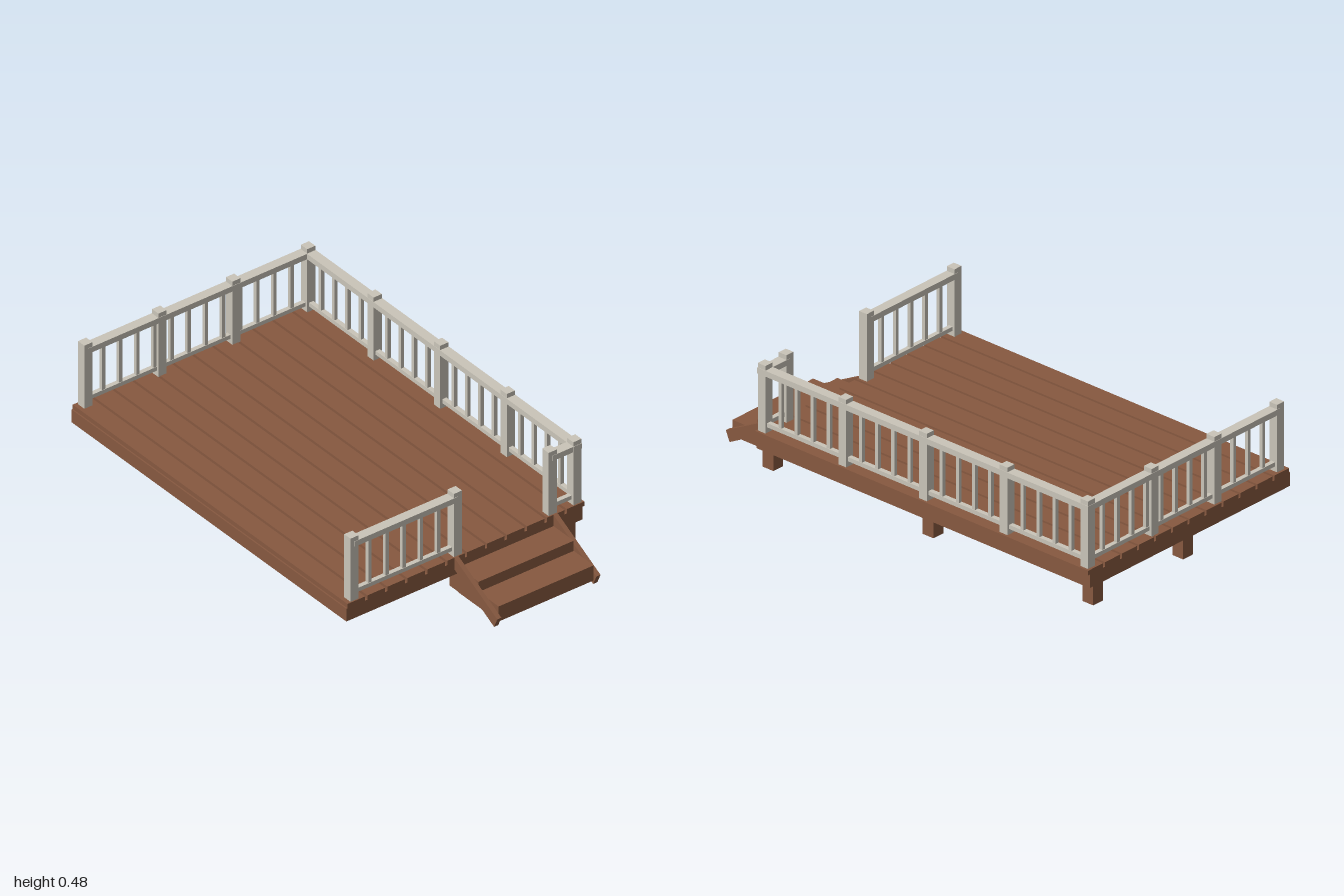
import * as THREE from 'three';

export function createModel() {
  const root = new THREE.Group();
  root.name = 'deck';
  const wood = new THREE.MeshStandardMaterial({ color: 0x875940 });
  wood.name = 'brown wood';
  const paint = new THREE.MeshStandardMaterial({ color: 0xcac5b9 });
  paint.name = 'pale railing paint';

  const group = (name) => {
    const g = new THREE.Group();
    g.name = name;
    root.add(g);
    return g;
  };
  // Box given by its limits on each axis
  const box = (parent, name, mat, x0, x1, y0, y1, z0, z1) => {
    const m = new THREE.Mesh(new THREE.BoxGeometry(x1 - x0, y1 - y0, z1 - z0), mat);
    m.position.set((x0 + x1) / 2, (y0 + y1) / 2, (z0 + z1) / 2);
    m.name = name;
    parent.add(m);
  };

  const X0 = -1, X1 = 0.73, RIM = 0.108, JOIST = 0.167, DECK = 0.187;

  // Floor boards running along x
  const floor = group('floorBoards');
  for (let i = 0; i < 12; i++) {
    const z = 0.574 - i * 0.0969;
    box(floor, 'floorBoard', wood, X0, X1, JOIST, DECK, z - 0.0855, z);
  }

  // Joists across the deck, closed by front and back rim boards
  const frame = group('frame');
  for (let i = 0; i <= 10; i++) {
    const x = -0.987 + i * 0.1704;
    box(frame, 'joist', wood, x - 0.013, x + 0.013, RIM, JOIST, -0.545, 0.556);
  }
  box(frame, 'frontRim', wood, X0, X1, RIM, JOIST, 0.555, 0.58);
  box(frame, 'backRim', wood, X0, X1, RIM, JOIST, -0.568, -0.543);

  // Footing posts
  const footings = group('footings');
  for (const [x, z] of [[-0.962, -0.51], [-0.133, -0.51], [0.698, -0.51], [-0.962, 0.005], [0.698, 0.005]])
    box(footings, 'footing', wood, x - 0.028, x + 0.028, 0.018, RIM + 0.002, z - 0.028, z + 0.028);

  // Stairs: two solid steps between sloping stringers
  const stairs = group('stairs');
  box(stairs, 'upperStep', wood, X1, 0.857, 0.018, 0.135, -0.427, 0.035);
  box(stairs, 'lowerStep', wood, 0.857, 0.983, 0.018, 0.088, -0.427, 0.035);
  const side = new THREE.Shape([[X1, 0.133], [0.98, 0], [1, 0.045], [X1, DECK]]
    .map(([x, y]) => new THREE.Vector2(x, y)));
  const sideGeo = new THREE.ExtrudeGeometry(side, { depth: 0.02, bevelEnabled: false });
  for (const z of [-0.447, 0.035]) {
    const m = new THREE.Mesh(sideGeo, wood);
    m.position.z = z;
    m.name = 'stringer';
    stairs.add(m);
  }

  // Railing posts
  const L = -0.97, R = 0.705, B = -0.547, F = 0.536;
  const posts = group('railingPosts');
  const postSpots = [[L, F], [L, 0.176], [L, -0.183], [R, F], [R, 0.034], [R, -0.427]];
  for (let i = 0; i < 5; i++) postSpots.push([L + (R - L) * i / 4, B]);
  for (const [x, z] of postSpots)
    box(posts, 'railingPost', paint, x - 0.02, x + 0.02, DECK - 0.002, 0.48, z - 0.02, z + 0.02);

  // A straight run of railing: top rail, bottom rail, evenly spaced balusters
  const railing = (name, xa, za, xb, zb, bays, skip) => {
    const g = group(name);
    const alongX = za === zb;
    const bar = (part, w, y0, y1, end0, end1) => alongX
      ? box(g, part, paint, xa - end0, xb + end1, y0, y1, za - w, za + w)
      : box(g, part, paint, xa - w, xa + w, y0, y1, za - end0, zb + end1);
    const backEnd = alongX || za === B ? 0.022 : 0;
    bar('topRail', 0.0215, 0.435, 0.46, backEnd, alongX ? 0.022 : 0);
    bar('bottomRail', 0.01, 0.21, 0.228, 0, 0);
    for (let i = 1; i < bays; i++) {
      if (skip && i % skip === 0) continue;
      const x = xa + (xb - xa) * i / bays, z = za + (zb - za) * i / bays;
      box(g, 'baluster', paint, x - 0.008, x + 0.008, 0.228, 0.435, z - 0.008, z + 0.008);
    }
  };
  railing('backRailing', L, B, R, B, 20, 5);
  railing('rightRailing', L, B, L, F, 13);
  railing('leftFrontRailing', R, 0.034, R, F, 6);
  railing('leftBackRailing', R, B, R, -0.427, 1);

  return root;
}
